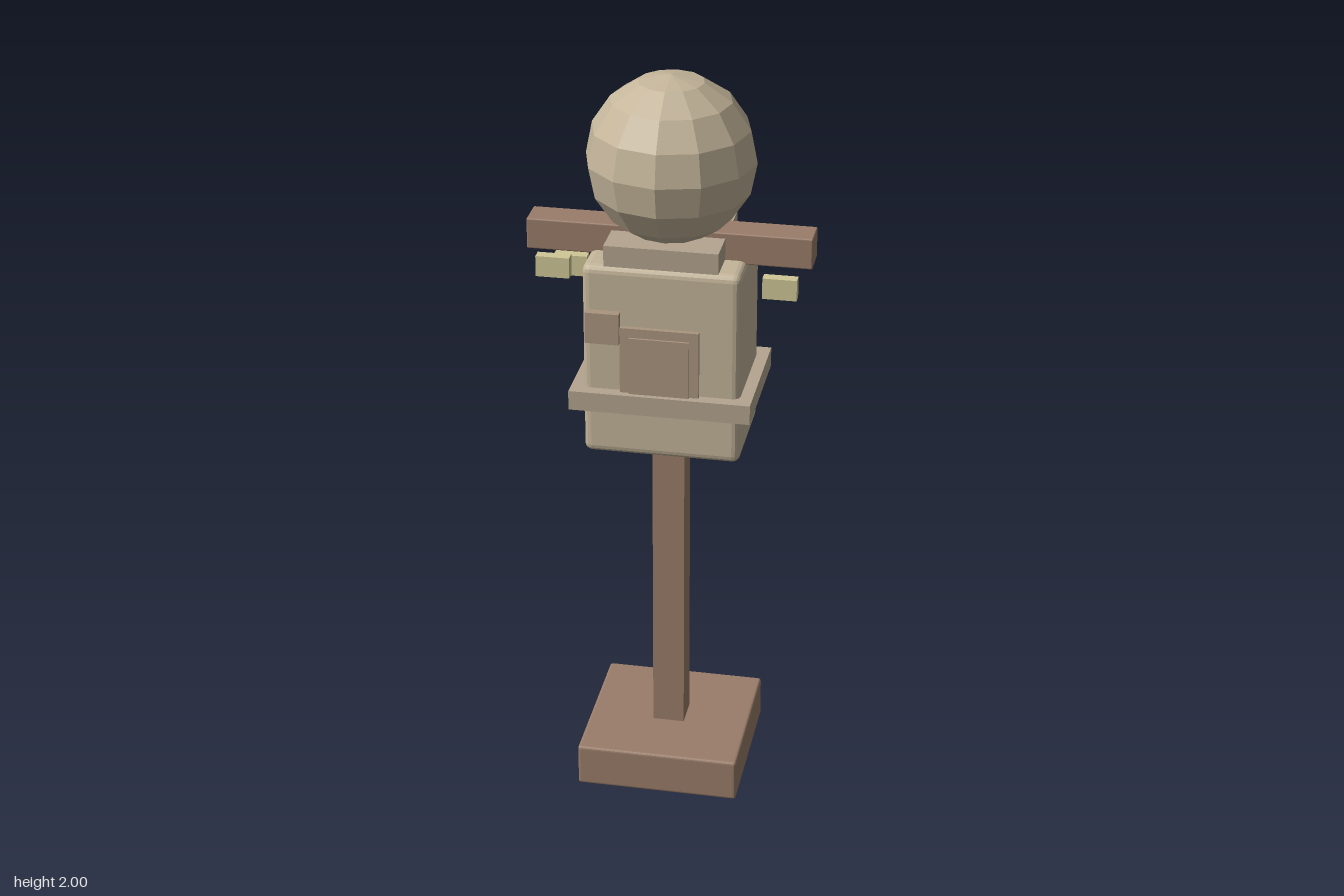
import * as THREE from 'three';
import { RoundedBoxGeometry } from 'three/addons/geometries/RoundedBoxGeometry.js';

const material = (color) => new THREE.MeshStandardMaterial({ color, flatShading: true });

export function createModel() {
  const model = new THREE.Group();
  model.name = 'postFigure';

  const wood = material(0x9a7d6a);
  const cloth = material(0xc4b59a);
  const trim = material(0xb4a58f);
  const patch = material(0xab957e);
  const straw = material(0xd0c897);

  // Box given by its extents on each axis, with an optional edge radius
  function box(name, mat, [x0, x1], [y0, y1], [z0, z1], radius = 0) {
    const size = [x1 - x0, y1 - y0, z1 - z0];
    const geometry = radius
      ? new RoundedBoxGeometry(...size, 2, radius)
      : new THREE.BoxGeometry(...size);
    const mesh = new THREE.Mesh(geometry, mat);
    mesh.name = name;
    mesh.position.set((x0 + x1) / 2, (y0 + y1) / 2, (z0 + z1) / 2);
    model.add(mesh);
  }
  const sym = (half) => [-half, half];

  // Stand and crossbar
  box('base', wood, sym(0.22), [0, 0.12], sym(0.22), 0.008);
  box('pole', wood, sym(0.043), [0.1, 1.02], sym(0.043));
  box('crossbar', wood, sym(0.37), [1.52, 1.603], sym(0.043), 0.004);

  // Padded body with belt and collar
  box('body', cloth, sym(0.205), [1.0, 1.53], sym(0.145), 0.02);
  box('belt', trim, sym(0.237), [1.135, 1.188], sym(0.177));
  box('collar', trim, sym(0.147), [1.532, 1.588], sym(0.145));

  // Patches on the chest
  box('chestPatch', patch, [-0.105, 0.1], [1.17, 1.37], [0.14, 0.158]);
  box('chestPanel', patch, [-0.08, 0.076], [1.17, 1.345], [0.14, 0.164]);
  box('sidePatch', patch, [-0.193, -0.105], [1.325, 1.41], [0.14, 0.168]);

  // Straw tufts hanging around the arms: centre x, y, z
  const tufts = [
    [-0.297, 1.485, 0.058],
    [-0.268, 1.458, -0.022],
    [0.296, 1.485, 0.088],
    [0.266, 1.514, -0.061],
  ];
  tufts.forEach(([x, y, z], i) => {
    box(`strawTuft${i + 1}`, straw, [x - 0.044, x + 0.044], [y - 0.028, y + 0.028], [z - 0.0145, z + 0.0145]);
  });

  // Faceted head
  const head = new THREE.Mesh(new THREE.SphereGeometry(0.22, 12, 8), cloth);
  head.name = 'head';
  head.position.y = 1.78;
  model.add(head);

  return model;
}
